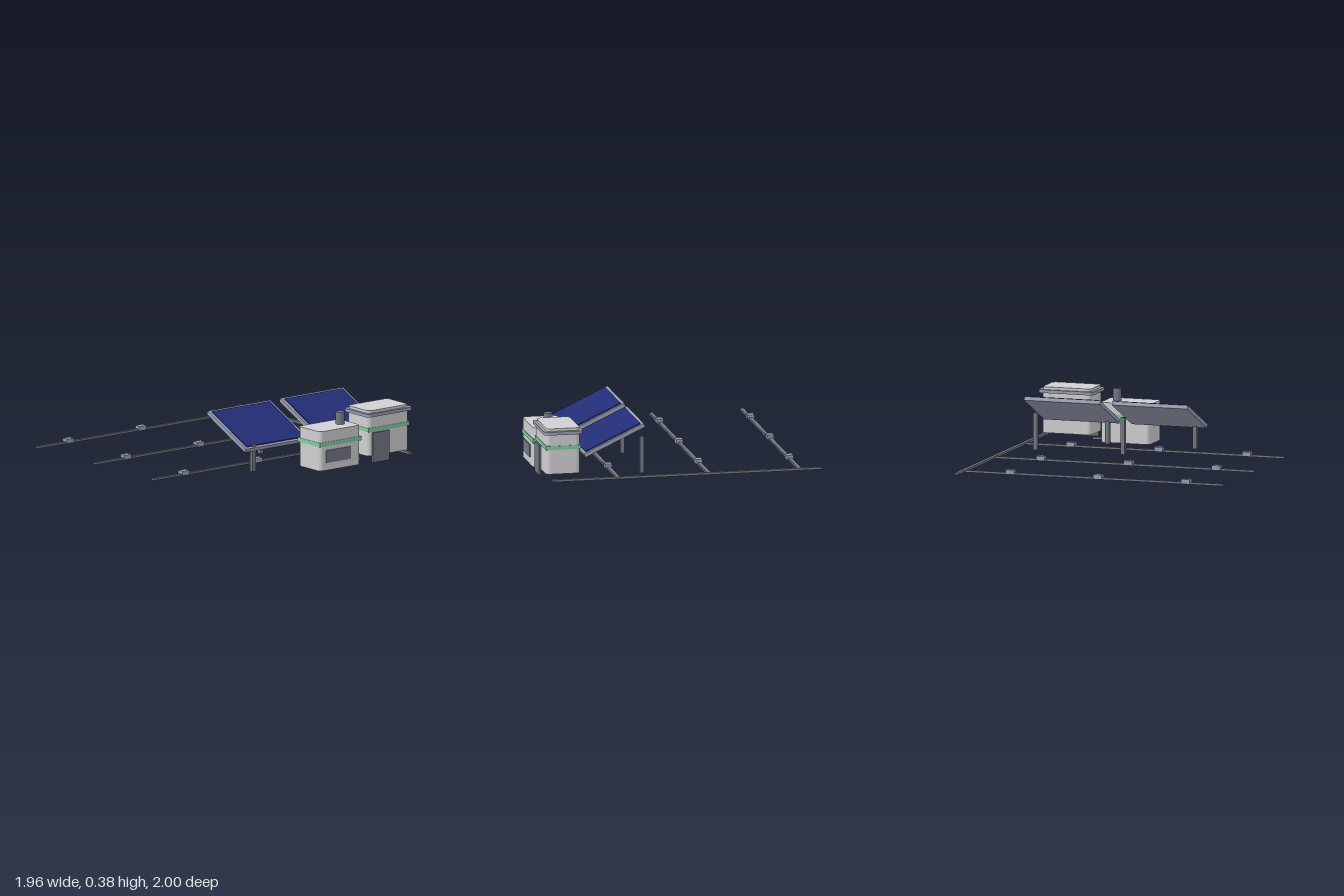
import * as THREE from 'three';

const mat = (name, color) => {
  const m = new THREE.MeshStandardMaterial({ color });
  m.name = name;
  return m;
};

export function createModel() {
  const model = new THREE.Group();
  model.name = 'solarOutpost';
  const wall = mat('wall white', 0xd0cfd2);
  const trim = mat('trim grey', 0x989eb2);
  const dark = mat('dark grey', 0x737885);
  const blue = mat('cell blue', 0x232d76);
  const green = mat('band green', 0x80caa2);

  const add = (parent, name, geometry, material) => {
    const mesh = new THREE.Mesh(geometry, material);
    mesh.name = name;
    parent.add(mesh);
    return mesh;
  };

  // Box given by its limits on each axis
  const box = (parent, name, material, [x0, x1], [y0, y1], [z0, z1]) => {
    const mesh = add(parent, name, new THREE.BoxGeometry(x1 - x0, y1 - y0, z1 - z0), material);
    mesh.position.set((x0 + x1) / 2, (y0 + y1) / 2, (z0 + z1) / 2);
    return mesh;
  };

  // Upright block with rounded vertical edges
  const roundedBlock = (parent, name, material, [x0, x1], [y0, y1], [z0, z1], r) => {
    const w = (x1 - x0) / 2, d = (z1 - z0) / 2;
    const s = new THREE.Shape();
    s.moveTo(-w + r, -d);
    s.absarc(w - r, -d + r, r, -Math.PI / 2, 0);
    s.absarc(w - r, d - r, r, 0, Math.PI / 2);
    s.absarc(-w + r, d - r, r, Math.PI / 2, Math.PI);
    s.absarc(-w + r, -d + r, r, Math.PI, Math.PI * 1.5);
    const g = new THREE.ExtrudeGeometry(s, { depth: y1 - y0, bevelEnabled: false, curveSegments: 5 });
    g.rotateX(-Math.PI / 2);
    const mesh = add(parent, name, g, material);
    mesh.position.set((x0 + x1) / 2, y0, (z0 + z1) / 2);
    return mesh;
  };

  // Ground rails with clamps, joined by one main rail on the left
  const rails = new THREE.Group();
  rails.name = 'groundRails';
  model.add(rails);
  box(rails, 'mainRail', dark, [0.952, 0.978], [0, 0.016], [-1, 0.95]);
  for (const z of [-0.84, -0.185, 0.47]) {
    box(rails, 'crossRail', dark, [-0.98, 0.955], [0, 0.015], [z - 0.013, z + 0.013]);
    for (const x of [-0.698, -0.042, 0.613])
      box(rails, 'clamp', trim, [x - 0.032, x + 0.032], [0.002, 0.035], [z - 0.024, z + 0.024]);
  }

  // Two tilted solar panels, each on a short front post and a tall back post
  for (const x of [-0.042, 0.613]) {
    const unit = new THREE.Group();
    unit.name = 'solarPanel';
    unit.position.x = x;
    model.add(unit);
    const tilt = new THREE.Group();
    tilt.name = 'tiltedPanel';
    tilt.position.set(0, 0.262, 0.48);
    tilt.rotation.x = THREE.MathUtils.degToRad(25);
    unit.add(tilt);
    box(tilt, 'panelFrame', trim, [-0.282, 0.282], [-0.014, 0.014], [-0.238, 0.238]);
    box(tilt, 'panelCells', blue, [-0.26, 0.26], [0.013, 0.022], [-0.218, 0.218]);
    box(unit, 'frontPost', dark, [-0.213, -0.183], [0, 0.195], [0.662, 0.692]);
    box(unit, 'backPost', dark, [0.183, 0.213], [0, 0.265], [0.252, 0.282]);
  }

  // Low hut with window plate and vent pipe
  const low = new THREE.Group();
  low.name = 'lowHut';
  model.add(low);
  roundedBlock(low, 'hutBody', wall, [0.122, 0.49], [0, 0.285], [0.735, 0.98], 0.03);
  box(low, 'hutBand', green, [0.119, 0.493], [0.175, 0.205], [0.732, 0.983]);
  box(low, 'hutWindow', dark, [0.177, 0.395], [0.055, 0.145], [0.979, 0.988]);
  const vent = add(low, 'ventPipe', new THREE.CylinderGeometry(0.032, 0.032, 0.09, 12), dark);
  vent.position.set(0.405, 0.328, 0.855);

  // Tall hut with door and rimmed roof
  const tall = new THREE.Group();
  tall.name = 'tallHut';
  model.add(tall);
  roundedBlock(tall, 'hutBody', wall, [0.56, 0.927], [0.046, 0.335], [0.735, 0.98], 0.03);
  box(tall, 'hutBand', green, [0.557, 0.93], [0.222, 0.25], [0.732, 0.983]);
  roundedBlock(tall, 'roofRim', trim, [0.54, 0.951], [0.332, 0.355], [0.718, 0.998], 0.035);
  roundedBlock(tall, 'roofTop', wall, [0.563, 0.925], [0.355, 0.374], [0.736, 0.976], 0.03);
  box(tall, 'hutDoor', dark, [0.59, 0.742], [0, 0.215], [0.979, 0.992]);

  // Pipe joining the huts
  box(model, 'linkPipe', dark, [0.47, 0.585], [0, 0.016], [0.84, 0.866]);

  return model;
}
